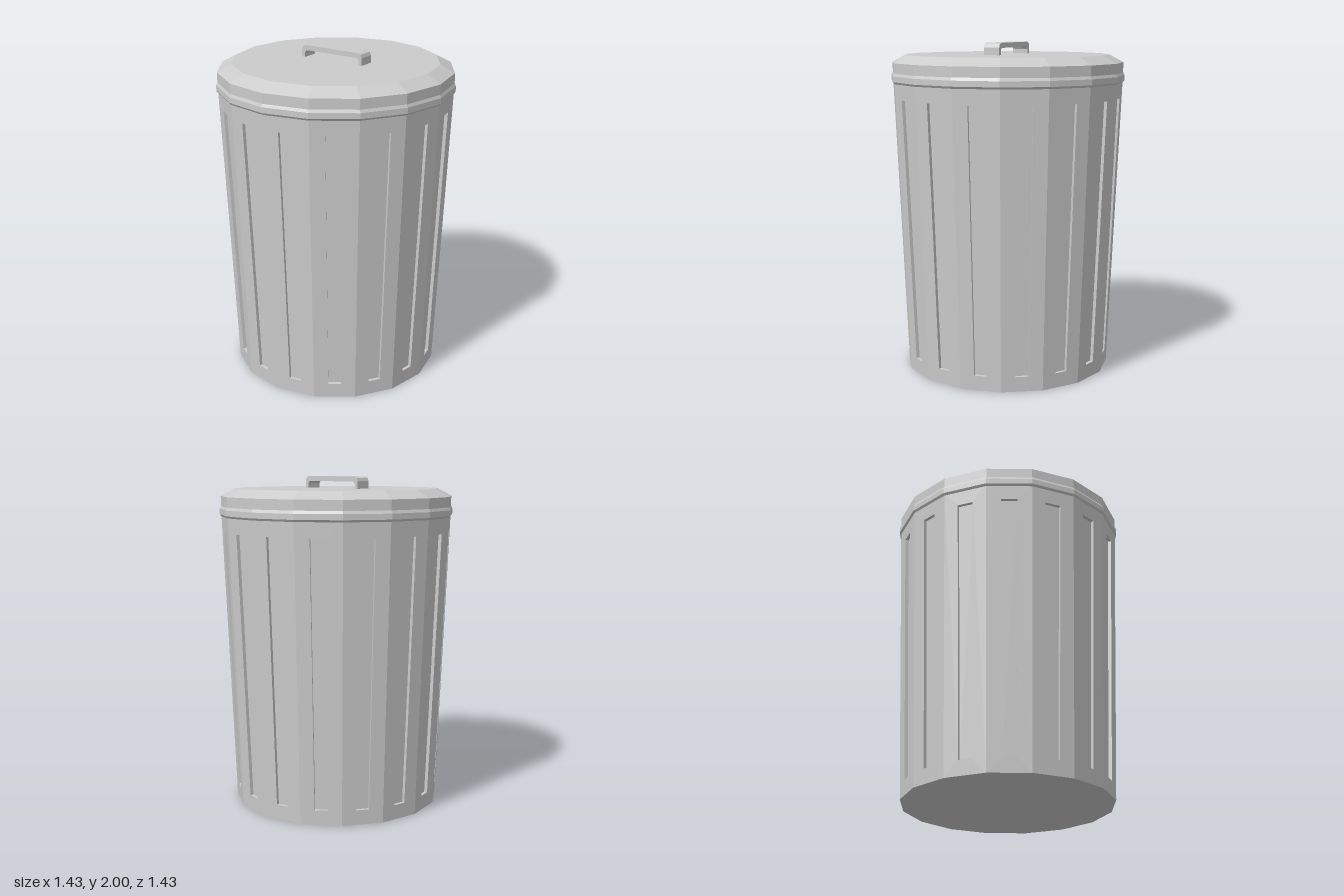
import * as THREE from 'three';
import { mergeGeometries } from 'three/addons/utils/BufferGeometryUtils.js';

const SIDES = 16;
const HALF = Math.PI / SIDES;
const BODY_TOP = 1.77;
const DEPTH = 0.02;

const metal = new THREE.MeshStandardMaterial({ color: 0xcccccc, flatShading: true });

function part(name, geometry) {
  const mesh = new THREE.Mesh(geometry, metal);
  mesh.name = name;
  return mesh;
}

// The can widens evenly from the floor to the rim
const radiusAt = (y) => 0.632 + 0.071 * (y / BODY_TOP);

// Point on the +z side: x across, y up, pushed inward by depth
function sidePoint(x, y, depth = 0) {
  return [x, y, radiusAt(y) * Math.cos(HALF) - depth];
}

// One flat side of the can with a sunken vertical groove
function sideGeometry() {
  const half = (y) => radiusAt(y) * Math.sin(HALF);
  const y0 = 0.09, y1 = 1.67, w0 = 0.038, w1 = 0.049;
  const rect = (corners, depth) => corners.map(([x, y]) => sidePoint(x, y, depth));
  const outer = rect([[-half(0), 0], [half(0), 0], [half(BODY_TOP), BODY_TOP], [-half(BODY_TOP), BODY_TOP]]);
  const slot = [[-w0, y0], [w0, y0], [w1, y1], [-w1, y1]];
  const edge = rect(slot);
  const floor = rect(slot, DEPTH);

  const positions = [];
  const quad = (a, b, c, d) => positions.push(...a, ...b, ...c, ...a, ...c, ...d);
  for (let i = 0; i < 4; i++) {
    const j = (i + 1) % 4;
    quad(outer[i], outer[j], edge[j], edge[i]); // surrounding face
    quad(edge[i], edge[j], floor[j], floor[i]); // groove wall
  }
  quad(...floor);

  const geometry = new THREE.BufferGeometry();
  geometry.setAttribute('position', new THREE.Float32BufferAttribute(positions, 3));
  geometry.computeVertexNormals();
  return geometry;
}

function createBody() {
  const side = sideGeometry();
  const sides = [];
  for (let i = 0; i < SIDES; i++) sides.push(side.clone().rotateY((2 * i + 1) * HALF));

  const body = new THREE.Group();
  body.name = 'body';
  body.add(part('groovedWall', mergeGeometries(sides)));
  body.add(part('bottom', new THREE.CircleGeometry(radiusAt(0), SIDES).rotateX(Math.PI / 2)));
  return body;
}

// Lid with a rolled bead at the rim and a sloped shoulder
function createLid() {
  const profile = [
    [0.69, 1.76], [0.704, 1.76], [0.713, 1.772], [0.713, 1.805], [0.705, 1.822],
    [0.705, 1.882], [0.618, 1.928], [0, 1.928],
  ].map(([r, y]) => new THREE.Vector2(r, y));
  return part('lid', new THREE.LatheGeometry(profile, SIDES));
}

// Flat strap bent into a bridge
function createHandle() {
  const outerHalf = [[0.212, 1.92], [0.212, 1.972], [0.204, 1.992], [0.183, 2.0]];
  const innerHalf = [[0.172, 1.97], [0.184, 1.965], [0.19, 1.955], [0.19, 1.92]];
  const right = [...outerHalf, ...innerHalf];
  const mirror = (points) => points.map(([x, y]) => [-x, y]).reverse();
  const outline = [...outerHalf, ...mirror(right.slice(0, 4)), ...mirror(innerHalf), ...innerHalf];
  const shape = new THREE.Shape(outline.map(([x, y]) => new THREE.Vector2(x, y)));
  const geometry = new THREE.ExtrudeGeometry(shape, { depth: 0.1, bevelEnabled: false });
  return part('lidHandle', geometry.translate(0, 0, -0.05));
}

export function createModel() {
  const model = new THREE.Group();
  model.name = 'trashCan';
  model.add(createBody(), createLid(), createHandle());
  return model;
}
